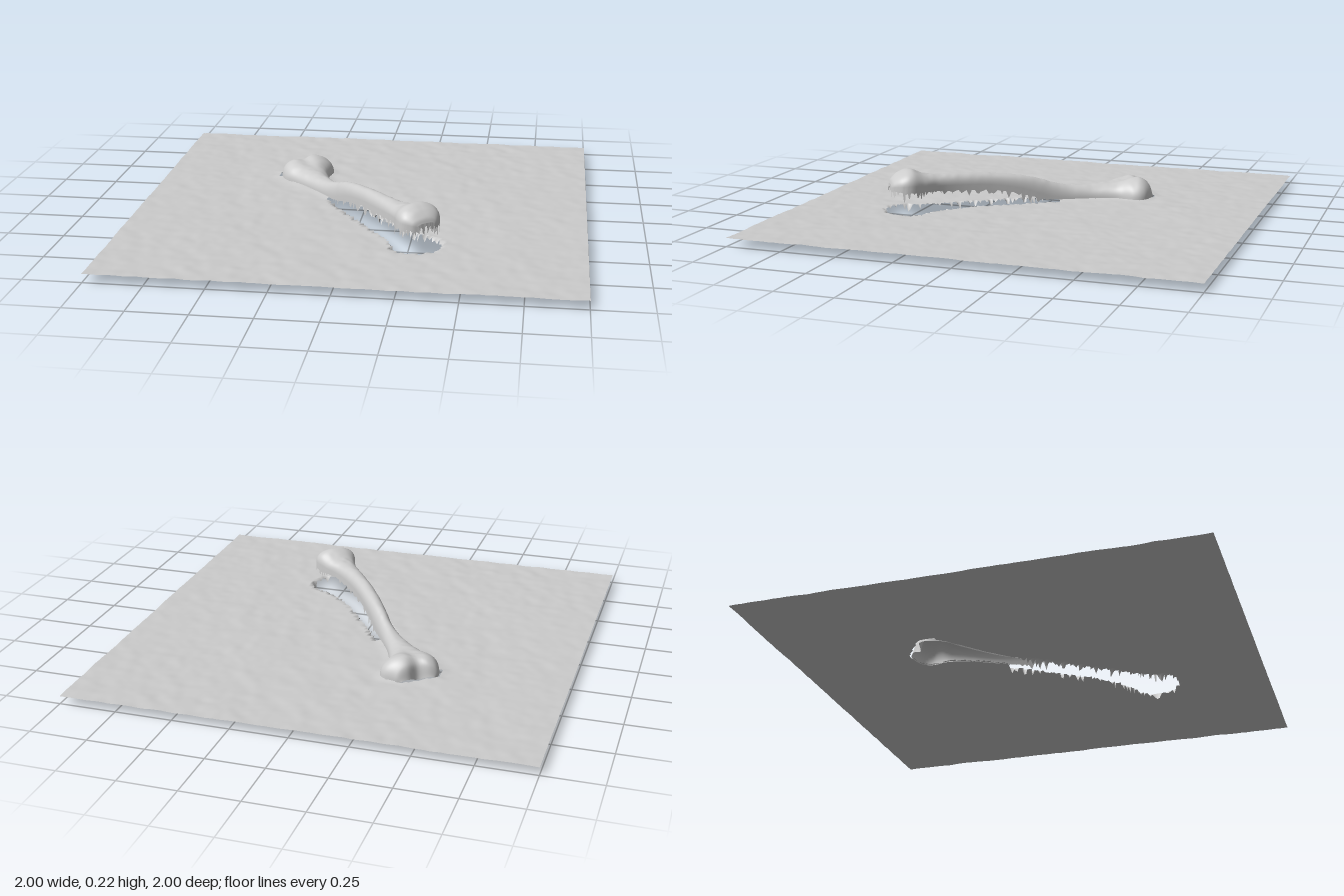
import * as THREE from 'three';

// Bone axis on the ground: s runs along the bone, t across it
const DX = 0.567, DZ = 0.823, X0 = -0.08;
const toX = (s, t) => X0 + s * DX + t * DZ;
const toZ = (s, t) => s * DZ - t * DX;

// Stations: s, left edge, right edge, top, lower rim
const STATIONS = [
  [-0.522, -0.075, 0.075, 0.05, 0.04],
  [-0.505, -0.1, 0.1, 0.112, 0.04],
  [-0.46, -0.118, 0.135, 0.136, 0.04],
  [-0.41, -0.12, 0.13, 0.126, 0.04],
  [-0.35, -0.1, 0.075, 0.108, 0.04],
  [-0.25, -0.075, 0.04, 0.098, 0.04],
  [-0.15, -0.058, 0.026, 0.1, 0.04],
  [-0.06, -0.048, 0.022, 0.12, 0.046],
  [0.02, -0.05, 0.022, 0.145, 0.065],
  [0.12, -0.052, 0.022, 0.165, 0.095],
  [0.25, -0.052, 0.024, 0.181, 0.118],
  [0.38, -0.05, 0.034, 0.188, 0.126],
  [0.48, -0.048, 0.055, 0.191, 0.132],
  [0.55, -0.056, 0.09, 0.201, 0.138],
  [0.61, -0.074, 0.116, 0.225, 0.142],
  [0.655, -0.073, 0.11, 0.212, 0.144],
  [0.69, -0.045, 0.08, 0.185, 0.146],
  [0.702, -0.015, 0.058, 0.16, 0.148],
];
const ROWS = 170, ARC = 28;

const hash = (i, j) => {
  const v = Math.sin(i * 127.1 + j * 311.7) * 43758.5453;
  return v - Math.floor(v);
};
function noise(x, z) {
  const i = Math.floor(x), j = Math.floor(z);
  const u = THREE.MathUtils.smoothstep(x - i, 0, 1);
  const v = THREE.MathUtils.smoothstep(z - j, 0, 1);
  const a = THREE.MathUtils.lerp(hash(i, j), hash(i + 1, j), u);
  const b = THREE.MathUtils.lerp(hash(i, j + 1), hash(i + 1, j + 1), u);
  return THREE.MathUtils.lerp(a, b, v) - 0.5;
}

// Smooth stations along the bone
function boneRows() {
  const spline = (a, b) => new THREE.CatmullRomCurve3(
    STATIONS.map((r) => new THREE.Vector3(r[0], r[a], r[b])), false, 'catmullrom', 0.5);
  const sides = spline(1, 2), heights = spline(3, 4);
  return Array.from({ length: ROWS + 1 }, (_, i) => {
    const p = sides.getPoint(i / ROWS), q = heights.getPoint(i / ROWS);
    return { s: p.x, left: p.y, right: p.z, top: q.y, rim: q.z };
  });
}

function buildGeometry(positions, index) {
  const g = new THREE.BufferGeometry();
  g.setAttribute('position', new THREE.Float32BufferAttribute(positions, 3));
  g.setIndex(index);
  g.computeVertexNormals();
  return g;
}

// Open arched shell with a ragged lower rim where it lifts off the ground
function boneGeometry(rows) {
  const pos = [], idx = [];
  rows.forEach((r, i) => {
    const far = 1 - THREE.MathUtils.smoothstep(r.s, -0.46, -0.3);
    const raised = THREE.MathUtils.smoothstep(r.s, -0.1, 0.1);
    for (let j = 0; j <= ARC; j++) {
      const a = Math.PI * j / ARC;
      const t = (r.left + r.right) / 2 + Math.cos(a) * (r.right - r.left) / 2;
      const groove = far * Math.exp(-(((t + 0.01) / 0.035) ** 2));
      let y = r.rim + (r.top - r.rim) * Math.sin(a) ** (0.85 - 0.2 * raised);
      y -= 0.018 * groove * Math.sin(a);
      y += 0.003 * noise(r.s * 45, t * 45) * Math.sin(a);
      if (j === 0 || j === ARC || i === ROWS) {
        y -= raised * (0.008 + 0.045 * hash(i, j) ** 3);
      }
      const s = r.s + 0.022 * groove * (1 - THREE.MathUtils.smoothstep(r.s, -0.52, -0.43));
      pos.push(toX(s, t), y, toZ(s, t));
      if (i < ROWS && j < ARC) {
        const k = i * (ARC + 1) + j, n = k + ARC + 1;
        idx.push(k, k + 1, n, k + 1, n + 1, n);
      }
    }
  });
  return buildGeometry(pos, idx);
}

// Rough ground sheet, open beneath the bone
function groundGeometry(rows) {
  const N = 180, pos = [], idx = [], gap = [];
  // Distance outside the opening (negative inside)
  const outside = (x, z) => {
    const s = (x - X0) * DX + z * DZ, t = (x - X0) * DZ - z * DX;
    const r = rows.reduce((b, c) => (Math.abs(c.s - s) < Math.abs(b.s - s) ? c : b));
    const lip = s > -0.08 ? 0.006 : s < -0.46 && t < 0.08 ? 0.004 : -0.012;
    return Math.max(r.left - t, t - r.right, s - 0.702, -0.522 - s) - lip;
  };
  for (let j = 0; j <= N; j++) {
    for (let i = 0; i <= N; i++) {
      const x = -1 + 2 * i / N, z = -1 + 2 * j / N;
      const d = Math.abs(x) < 0.55 && Math.abs(z) < 0.7 ? outside(x, z) : 1;
      gap.push(d);
      let y = 0.039 + 0.003 * noise(x * 3, z * 3)
        + 0.004 * noise((x + z) * 9, (z - x) * 14) + 0.002 * noise(x * 31, z * 31);
      const s = (x - X0) * DX + z * DZ;
      // Ragged drips along the free edge, a soft rise where the bone meets the sheet
      if (d < 0.012 && s > -0.08) y -= 0.036 * hash(i, j) ** 3;
      else if (d < 0.04 && s <= -0.08) y += 0.006 * (1 - Math.max(d, 0) / 0.04);
      pos.push(x, Math.max(y, 0), z);
    }
  }
  for (let j = 0; j < N; j++) {
    for (let i = 0; i < N; i++) {
      const k = j * (N + 1) + i, n = k + N + 1;
      const tri = (a, b, c) => {
        if (Math.min(gap[a], gap[b], gap[c]) > 0) idx.push(a, b, c);
      };
      tri(k, n, k + 1);
      tri(k + 1, n, n + 1);
    }
  }
  return buildGeometry(pos, idx);
}

export function createModel() {
  const group = new THREE.Group();
  group.name = 'boneOnGround';
  const material = new THREE.MeshStandardMaterial({ color: 0xcccccc, side: THREE.DoubleSide });
  const rows = boneRows();
  const add = (name, geometry) => {
    const mesh = new THREE.Mesh(geometry, material);
    mesh.name = name;
    group.add(mesh);
  };
  add('ground', groundGeometry(rows));
  add('bone', boneGeometry(rows));
  return group;
}
